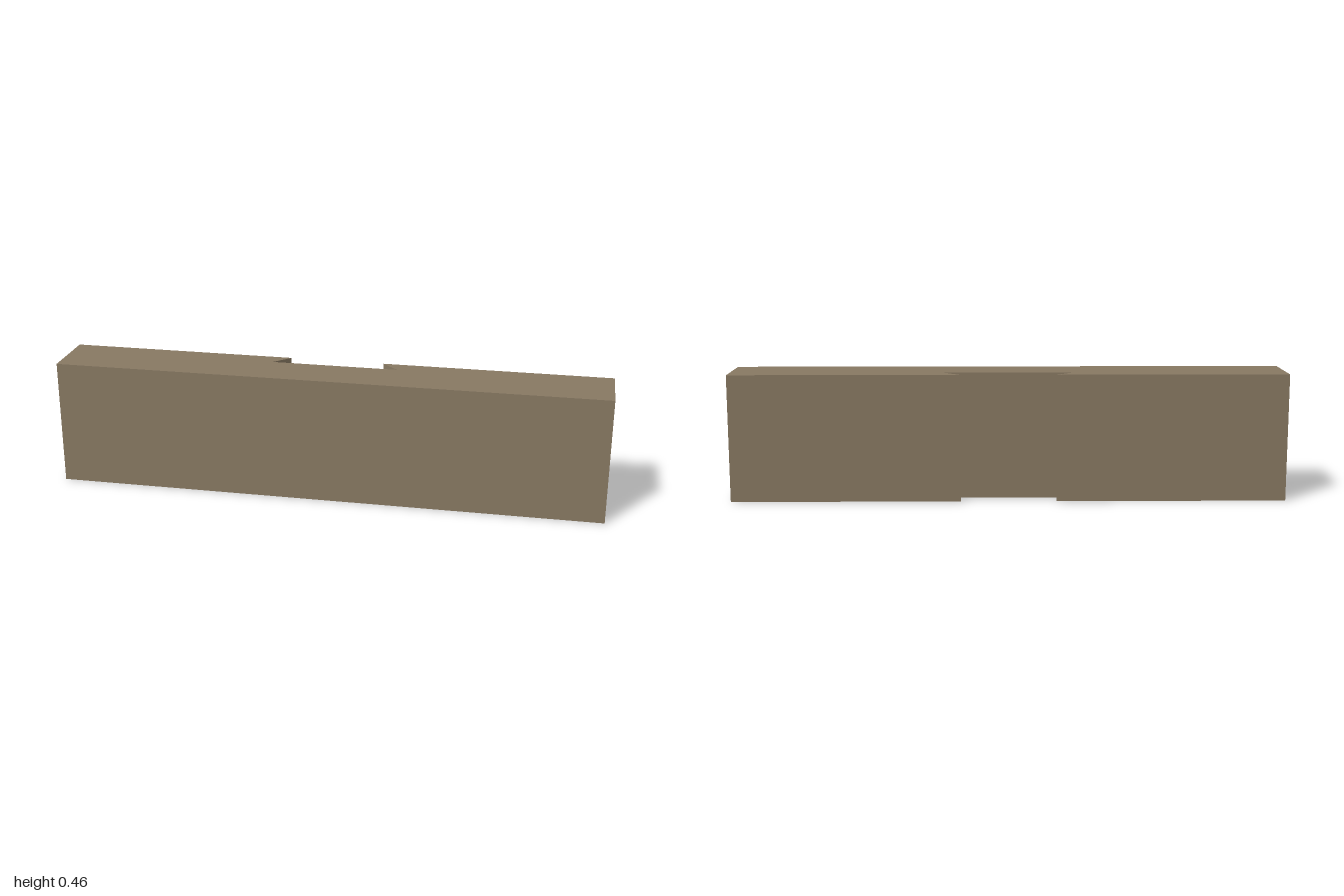
import * as THREE from 'three';

const HEIGHT = 0.46, LENGTH = 1, HALF = 0.115;

// Plan outlines as [x, z], counter-clockwise seen from above
const outline = [
  [-LENGTH, HALF], [LENGTH, HALF], [LENGTH, -HALF],
  [0.172, -HALF], [0.23, -0.0575], [-0.23, -0.0575], [-0.172, -HALF], // dovetail notch
  [-LENGTH, -HALF],
];
const slot = [[-0.172, 0.0575], [0.172, 0.0575], [0.172, 0], [-0.172, 0]];
const SLOT_DEPTH = 0.23;

const toVectors = (points, sign) => points.map(([x, z]) => new THREE.Vector2(x, z * sign));

// Upright walls along a closed outline
function wallGeometry(points, height) {
  const pos = [];
  points.forEach(([ax, az], i) => {
    const [bx, bz] = points[(i + 1) % points.length];
    pos.push(ax, 0, az, bx, 0, bz, bx, height, bz);
    pos.push(ax, 0, az, bx, height, bz, ax, height, az);
  });
  const geo = new THREE.BufferGeometry();
  geo.setAttribute('position', new THREE.Float32BufferAttribute(pos, 3));
  geo.computeVertexNormals();
  return geo;
}

// Flat face facing up or down, with an optional opening
function faceGeometry(points, y, up, hole) {
  const sign = up ? -1 : 1;
  const shape = new THREE.Shape(toVectors(points, sign));
  if (hole) shape.holes.push(new THREE.Path(toVectors(hole, sign)));
  return new THREE.ShapeGeometry(shape).rotateX(sign * Math.PI / 2).translate(0, y, 0);
}

export function createModel() {
  const model = new THREE.Group();
  model.name = 'notchedBeam';
  const wood = new THREE.MeshStandardMaterial({ color: 0x8a7b64 });
  wood.name = 'brownWood';

  const add = (name, geometry) => {
    const mesh = new THREE.Mesh(geometry, wood);
    mesh.name = name;
    model.add(mesh);
  };

  // Beam with a dovetail notch across its back
  add('beamSides', wallGeometry(outline, HEIGHT));
  add('beamTop', faceGeometry(outline, HEIGHT, true));
  add('beamUnderside', faceGeometry(outline, 0, false, slot));

  // Blind mortise cut up into the underside
  add('mortiseWalls', wallGeometry([...slot].reverse(), SLOT_DEPTH));
  add('mortiseEnd', faceGeometry(slot, SLOT_DEPTH, false));

  return model;
}
